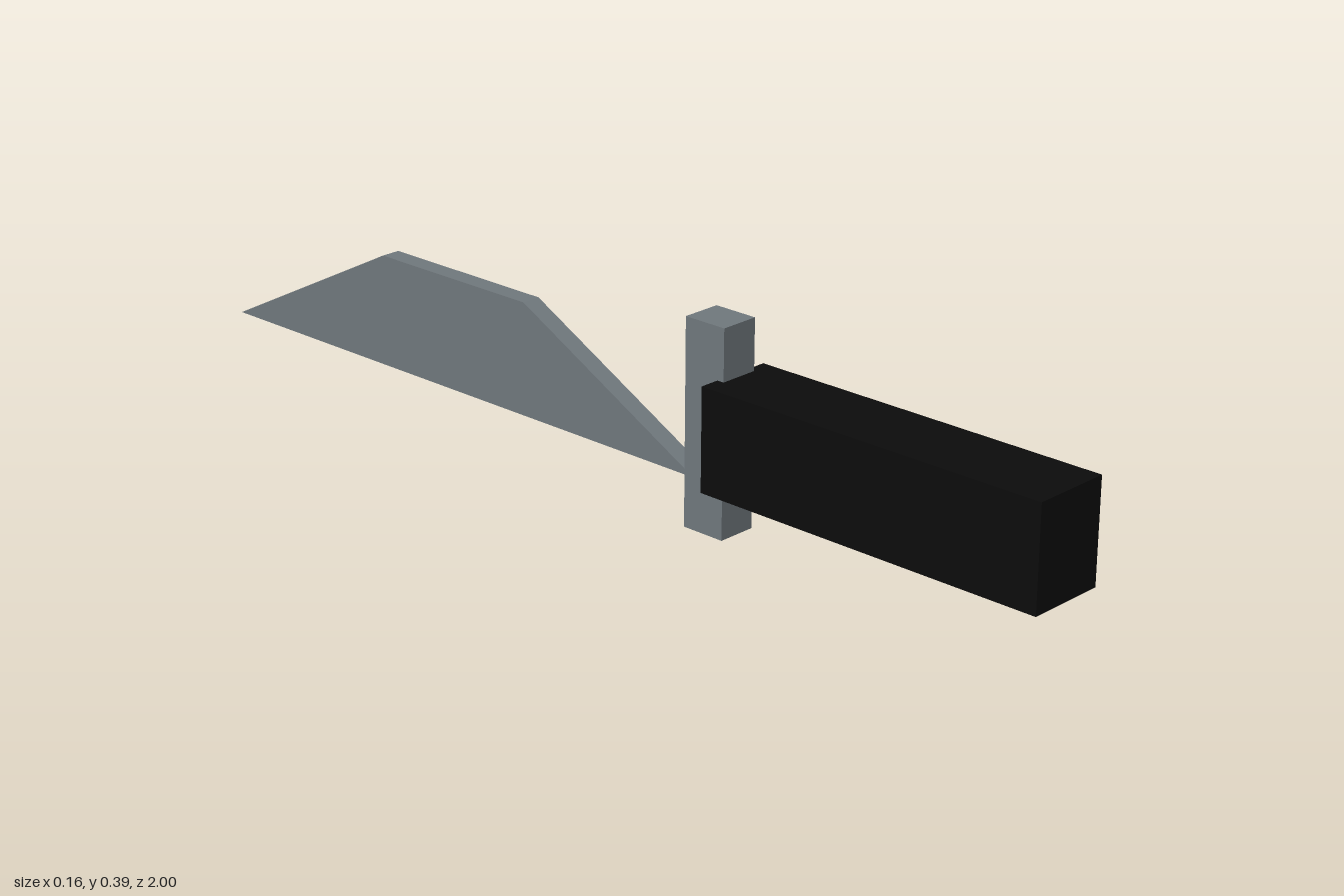
import * as THREE from 'three';

export function createModel() {
  const group = new THREE.Group();
  const steel = new THREE.MeshStandardMaterial({ color: 0x71797e });
  steel.name = 'steel';
  const black = new THREE.MeshStandardMaterial({ color: 0x0c0c0c });
  black.name = 'black';

  const add = (name, geometry, material) => {
    const mesh = new THREE.Mesh(geometry, material);
    mesh.name = name;
    group.add(mesh);
    return mesh;
  };

  // Square grip, running towards the front
  add('handle', new THREE.BoxGeometry(0.155, 0.194, 0.711), black)
    .position.set(0, 0.194, 0.6445);

  // Upright cross guard
  add('guard', new THREE.BoxGeometry(0.077, 0.388, 0.088), steel)
    .position.set(0, 0.194, 0.259);

  // Flat trapezoid blade, drawn as (z, y) and extruded across x
  const thickness = 0.038;
  const profile = new THREE.Shape([
    [-1, 0.087], [0.218, 0.087], [-0.2, 0.305], [-0.575, 0.305],
  ].map(([z, y]) => new THREE.Vector2(z, y)));
  const blade = new THREE.ExtrudeGeometry(profile, { depth: thickness, bevelEnabled: false });
  blade.translate(0, 0, -thickness / 2);
  blade.rotateY(-Math.PI / 2);
  add('blade', blade, steel);

  return group;
}
